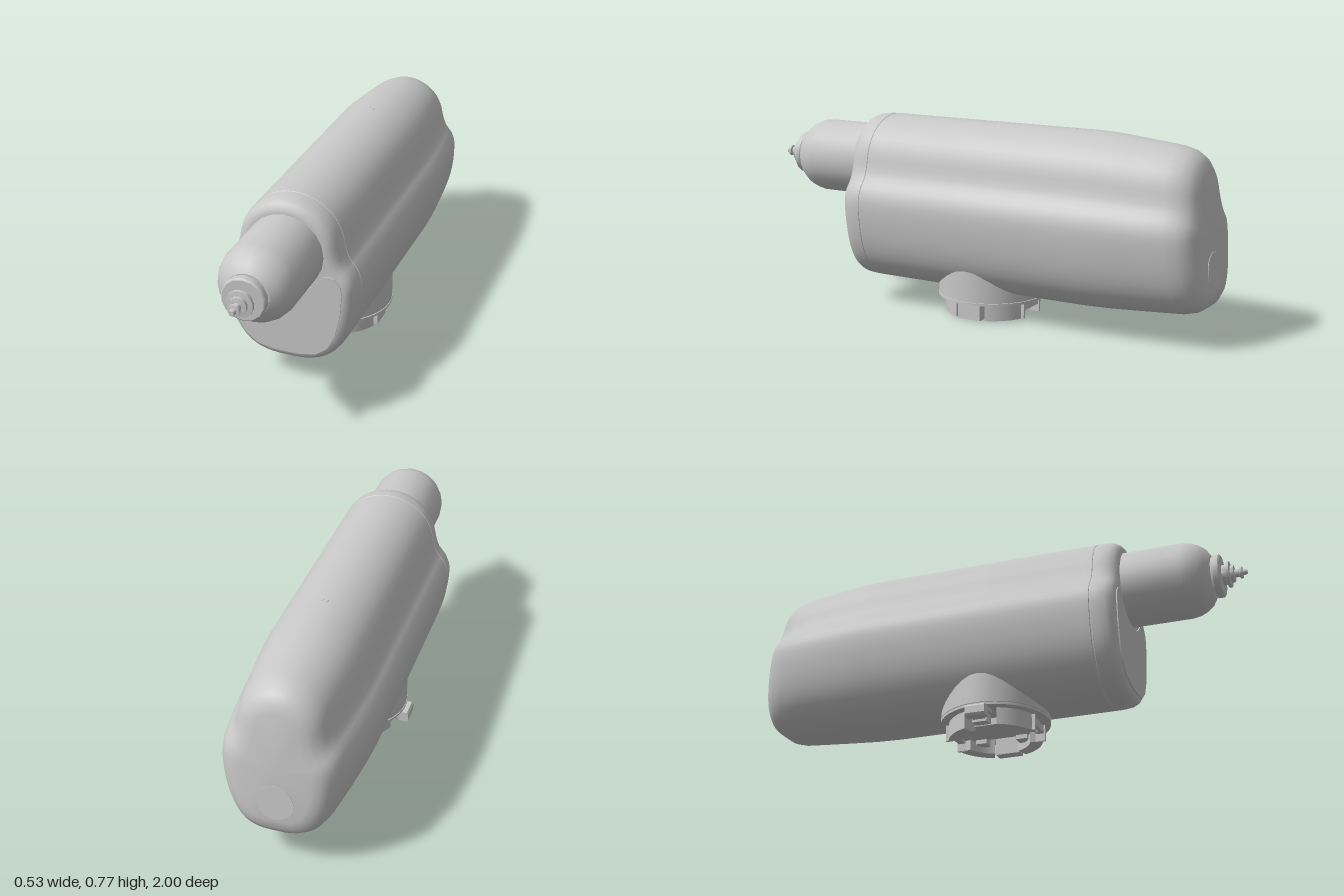
import * as THREE from 'three';
import { toCreasedNormals } from 'three/addons/utils/BufferGeometryUtils.js';

const grey = new THREE.MeshStandardMaterial({ color: 0xc8c8c8 });
grey.name = 'casing grey';

export function createModel() {
  const group = new THREE.Group();
  const add = (name, geometry, x = 0, y = 0, z = 0, crease = 0.5) => {
    const mesh = new THREE.Mesh(toCreasedNormals(geometry, crease), grey);
    mesh.name = name;
    mesh.position.set(x, y, z);
    group.add(mesh);
    return mesh;
  };
  const box = (name, w, h, d, x, y, z) => add(name, new THREE.BoxGeometry(w, h, d), x, y, z);

  // Cross-section of the casing: round top, waisted neck, wide belly
  const half = [[0, 0.773], [0.06, 0.764], [0.12, 0.734], [0.165, 0.688], [0.19, 0.635], [0.201, 0.585],
    [0.217, 0.537], [0.246, 0.5], [0.262, 0.46], [0.265, 0.42], [0.26, 0.36], [0.245, 0.28],
    [0.22, 0.212], [0.18, 0.155], [0.13, 0.12], [0.07, 0.103], [0, 0.1]];
  const loop = [...half, ...half.slice(1, -1).reverse().map(([x, y]) => [-x, y])];
  const n = loop.length * 2;
  const outline = new THREE.CatmullRomCurve3(loop.map(([x, y]) => new THREE.Vector3(x, y, 0)), true)
    .getPoints(n).slice(0, n).map((p) => [p.x, p.y]);
  const normals = outline.map((p, i) => {
    const a = outline[(i + n - 1) % n], b = outline[(i + 1) % n];
    const tx = b[0] - a[0], ty = b[1] - a[1], l = Math.hypot(tx, ty);
    return [ty / l, -tx / l];
  });

  // Stations along the casing: z, inset, x scale, y scale
  const stations = [
    [0.53, 0.045, 1, 1], [0.527, 0.03, 1, 1], [0.514, 0.014, 1, 1], [0.495, 0.005, 1, 1], [0.465, 0.001, 1, 1],
    [0.44, 0, 1, 1], [0.438, 0.002, 1, 1], [0.434, 0.002, 1, 1], [0.432, 0, 1, 1],
    [0.41, 0, 1, 1], [0, 0, 1, 1], [-0.5, 0, 1, 1], [-0.6, 0, 0.985, 0.99], [-0.72, 0, 0.945, 0.965],
    [-0.82, 0, 0.905, 0.943], [-0.9, 0, 0.865, 0.925], [-0.945, 0.01, 0.855, 0.92],
    [-0.975, 0.03, 0.85, 0.92], [-0.993, 0.058, 0.85, 0.92], [-1, 0.09, 0.85, 0.92]];
  const pos = [], index = [];
  // The tail end leans forward towards its top
  const lean = (y, z) => z + THREE.MathUtils.clamp((-z - 0.5) / 0.4, 0, 1) * (y - 0.2) * 0.11;
  for (const [z, inset, sx, sy] of stations) {
    outline.forEach(([x, y], i) => {
      const px = x * sx + normals[i][0] * inset;
      const py = 0.38 + (y - 0.38) * sy + normals[i][1] * inset;
      pos.push(px, py, lean(py, z));
    });
  }
  const last = stations.length - 1;
  for (let s = 0; s < last; s++) {
    for (let j = 0; j < n; j++) {
      const k = (j + 1) % n, a = s * n + j, b = s * n + k;
      index.push(a, b, a + n, b, b + n, a + n);
    }
  }
  const front = pos.length / 3, back = front + 1;
  pos.push(0, 0.42, 0.53, 0, 0.42, lean(0.42, -1));
  for (let j = 0; j < n; j++) {
    const k = (j + 1) % n;
    index.push(front, k, j, back, last * n + j, last * n + k);
  }
  const casing = new THREE.BufferGeometry();
  casing.setAttribute('position', new THREE.Float32BufferAttribute(pos, 3));
  casing.setIndex(index);
  add('casing', casing, 0, 0, 0, 0.6);

  // Front panel, notched around the barrel
  const edge = [[0.14, 0.485], [0.153, 0.497], [0.172, 0.5], [0.195, 0.492], [0.217, 0.465], [0.222, 0.43],
    [0.215, 0.34], [0.195, 0.25], [0.165, 0.19], [0.12, 0.155], [0.06, 0.142], [0, 0.14]];
  const panel = new THREE.Shape();
  edge.forEach(([x, y], i) => (i ? panel.lineTo(x, y) : panel.moveTo(x, y)));
  edge.slice(0, -1).reverse().forEach(([x, y]) => panel.lineTo(-x, y));
  const start = Math.atan2(-0.088, -0.14), end = Math.atan2(-0.088, 0.14);
  panel.absarc(0, 0.573, 0.165, start, end, false);
  add('frontPanel', new THREE.ExtrudeGeometry(panel, { depth: 0.006, bevelEnabled: false }), 0, 0, 0.528);

  // Barrel, dome and stepped nozzle turned about the z axis
  const turned = (name, profile, sides) => add(name,
    new THREE.LatheGeometry(profile.map(([r, z]) => new THREE.Vector2(r, z)), sides).rotateX(Math.PI / 2), 0, 0.573, 0);
  turned('barrel', [[0.151, 0.48], [0.151, 0.765], [0.146, 0.795], [0.133, 0.825], [0.113, 0.851], [0.085, 0.869], [0, 0.87]], 20);
  turned('collar', [[0.07, 0.86], [0.08, 0.872], [0.086, 0.878], [0.086, 0.9], [0.08, 0.905], [0, 0.905]], 14);
  turned('nozzle', [[0.04, 0.9], [0.04, 0.922], [0.052, 0.924], [0.052, 0.935], [0.034, 0.937], [0.034, 0.95],
    [0.016, 0.952], [0.016, 0.97], [0.023, 0.972], [0.023, 0.982], [0.012, 0.984], [0.01, 1], [0, 1]], 14);

  // Small port on top and round cover on the tail
  add('topPort', new THREE.TorusGeometry(0.011, 0.003, 6, 16).rotateX(Math.PI / 2), 0, 0.771, -0.4);
  const cover = add('tailCover', new THREE.CylinderGeometry(0.07, 0.07, 0.006, 24).rotateX(Math.PI / 2), 0, 0.29, lean(0.29, -1) + 0.001);
  cover.rotation.x = Math.atan(0.11);

  // Mounting pedestal
  const cz = -0.035;
  add('pedestal', new THREE.CylinderGeometry(0.217, 0.217, 0.155, 40), 0, 0.1625, cz);
  add('pedestalGroove', new THREE.CylinderGeometry(0.213, 0.213, 0.006, 40), 0, 0.083, cz);
  add('flange', new THREE.CylinderGeometry(0.218, 0.218, 0.01, 40), 0, 0.077, cz);

  // Bayonet mount: four curved lugs around a keyed centre
  for (let i = 0; i < 4; i++) {
    const mid = Math.PI / 4 + i * Math.PI / 2, spread = 0.42;
    const lug = new THREE.Shape();
    lug.absarc(0, 0, 0.185, mid - spread, mid + spread, false);
    lug.absarc(0, 0, 0.135, mid + spread, mid - spread, true);
    add('mountLug', new THREE.ExtrudeGeometry(lug, { depth: 0.07, bevelEnabled: false, curveSegments: 8 })
      .rotateX(Math.PI / 2), 0, 0.073, cz);
    box('lugStep', 0.045, 0.045, 0.045, Math.cos(mid) * 0.12, 0.05, cz + Math.sin(mid) * 0.12);
  }
  for (const side of [-1, 1]) {
    box('keyBar', 0.13, 0.03, 0.03, 0, 0.05, cz + side * 0.165);
    for (const x of [-0.062, 0.062]) box('keyPost', 0.012, 0.065, 0.045, x, 0.037, cz + side * 0.162);
  }
  box('centrePlate', 0.15, 0.03, 0.3, 0, 0.06, cz);
  box('sideStop', 0.045, 0.07, 0.1, 0.1625, 0.038, cz);
  for (let i = 0; i < 5; i++) {
    add('contactPin', new THREE.CylinderGeometry(0.004, 0.002, 0.012, 8), -0.02 + i * 0.01, 0.031, cz + 0.165);
  }

  // Release lever at the model's right
  box('leverArm', 0.09, 0.03, 0.05, -0.17, 0.042, cz);
  box('leverFoot', 0.035, 0.04, 0.06, -0.168, 0.037, cz);
  const grip = new THREE.Shape();
  grip.moveTo(-0.2, 0.026);
  [[-0.235, 0.026], [-0.241, 0.034], [-0.241, 0.062], [-0.235, 0.07], [-0.155, 0.07], [-0.155, 0.055], [-0.2, 0.055]]
    .forEach(([x, y]) => grip.lineTo(x, y));
  add('leverGrip', new THREE.ExtrudeGeometry(grip, { depth: 0.08, bevelEnabled: false }), 0, 0, cz - 0.04);
  return group;
}
